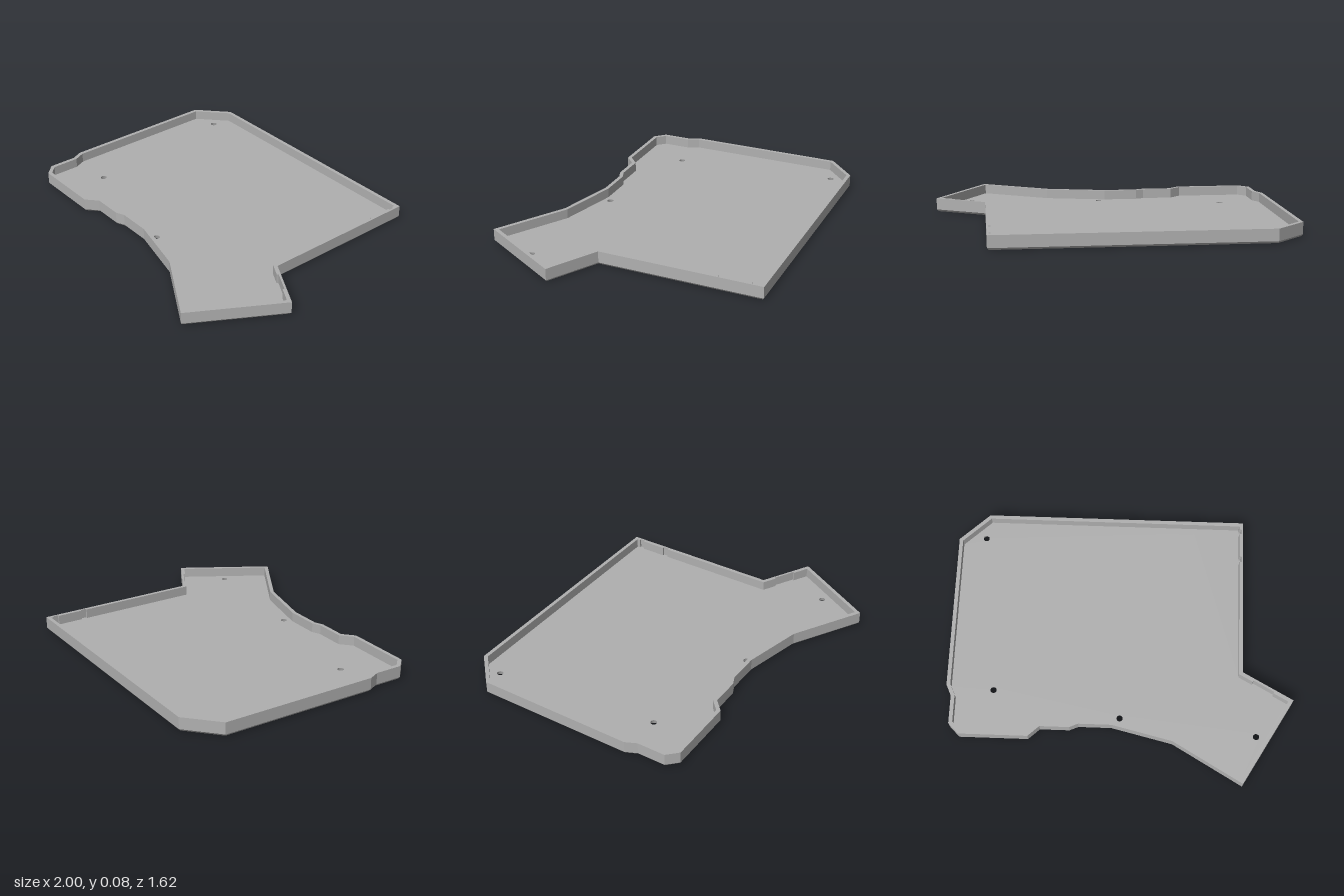
import * as THREE from 'three';

// Tray outline as [x, z], clockwise seen from above
const OUTLINE = [
  [-0.825, -0.81], [0.71, -0.81], [0.71, 0.145], [1, 0.305], [0.71, 0.805],
  [0.31, 0.572], [-0.04, 0.488], [-0.23, 0.488], [-0.28, 0.51], [-0.45, 0.51],
  [-0.515, 0.57], [-0.91, 0.57], [-0.97, 0.51], [-0.97, 0.345], [-1, 0.28], [-1, -0.645],
];
const HOLES = [[-0.845, -0.68], [0.395, -0.773], [-0.733, 0.286], [0.005, 0.432], [0.79, 0.515]];
const CHAMFER_Y = 0.012, FLOOR_Y = 0.024, TOP_Y = 0.08;
const WALL = 0.022, CHAMFER = 0.01;

// Inward normal of the edge a to b
function normal(a, b) {
  const dx = b[0] - a[0], dz = b[1] - a[1], l = Math.hypot(dx, dz);
  return [-dz / l, dx / l];
}

// Mitred inward offset of a loop
function inset(loop, w) {
  const n = loop.length;
  return loop.map((p, i) => {
    const a = normal(loop[(i + n - 1) % n], p), b = normal(p, loop[(i + 1) % n]);
    const k = w / (1 + a[0] * b[0] + a[1] * b[1]);
    return [p[0] + (a[0] + b[0]) * k, p[1] + (a[1] + b[1]) * k];
  });
}

// Points of a shallow recess cut outward along the edge a to b
function notch(a, b, start, end, depth) {
  const n = normal(a, b), d = [n[1], -n[0]];
  return [[start, 0], [start, depth], [end, depth], [end, 0]].map(([s, o]) =>
    [a[0] + d[0] * s - n[0] * o, a[1] + d[1] * s - n[1] * o]);
}

// Flat-shaded strip joining two loops; faces outward when the lower one comes first
function band(loopA, yA, loopB, yB) {
  const pos = [];
  loopA.forEach((p, i) => {
    const j = (i + 1) % loopA.length;
    const a0 = [p[0], yA, p[1]], b0 = [loopA[j][0], yA, loopA[j][1]];
    const a1 = [loopB[i][0], yB, loopB[i][1]], b1 = [loopB[j][0], yB, loopB[j][1]];
    pos.push(...a0, ...a1, ...b1, ...a0, ...b1, ...b0);
  });
  const g = new THREE.BufferGeometry();
  g.setAttribute('position', new THREE.Float32BufferAttribute(pos, 3));
  g.computeVertexNormals();
  return g;
}

// Horizontal face with holes, facing up or down
function cap(loop, holes, y, up) {
  const s = up ? -1 : 1;
  const points = (l) => l.map(([x, z]) => new THREE.Vector2(x, s * z));
  const shape = new THREE.Shape(points(loop));
  holes.forEach((h) => shape.holes.push(new THREE.Path(points(h))));
  return new THREE.ShapeGeometry(shape).rotateX(s * Math.PI / 2).translate(0, y, 0);
}

function circle([x, z], r, n = 24) {
  return Array.from({ length: n }, (_, i) => {
    const t = (i / n) * Math.PI * 2;
    return [x + r * Math.cos(t), z + r * Math.sin(t)];
  });
}

export function createModel() {
  const group = new THREE.Group();
  group.name = 'tray';
  const grey = new THREE.MeshStandardMaterial({ color: 0xb0b0b0 });
  grey.name = 'grey';
  const add = (name, geometry) => {
    const mesh = new THREE.Mesh(geometry, grey);
    mesh.name = name;
    group.add(mesh);
  };

  // Inner outline with recesses for the sockets
  const corners = inset(OUTLINE, WALL);
  const inner = [
    ...corners.slice(0, 2),
    ...notch(corners[1], corners[2], 0.02, 0.05, 0.012),
    ...notch(corners[1], corners[2], 0.2, 0.235, 0.012),
    corners[2],
    ...notch(corners[2], corners[3], 0.09, 0.225, 0.01),
    ...corners.slice(3),
  ];
  const base = inset(OUTLINE, CHAMFER);
  const topHoles = HOLES.map((p) => circle(p, 0.018));
  const bottomHoles = HOLES.map((p) => circle(p, 0.024));

  // Outside
  add('underside', cap(base, bottomHoles, 0, false));
  add('bottomChamfer', band(base, 0, OUTLINE, CHAMFER_Y));
  add('outerWall', band(OUTLINE, CHAMFER_Y, OUTLINE, TOP_Y));

  // Rim and inside
  add('rim', cap(OUTLINE, [inner], TOP_Y, true));
  add('innerWall', band(inner, TOP_Y, inner, FLOOR_Y));
  add('floor', cap(inner, topHoles, FLOOR_Y, true));

  // Countersunk screw holes
  HOLES.forEach((_, i) => add('screwHole', band(topHoles[i], FLOOR_Y, bottomHoles[i], 0)));
  return group;
}
